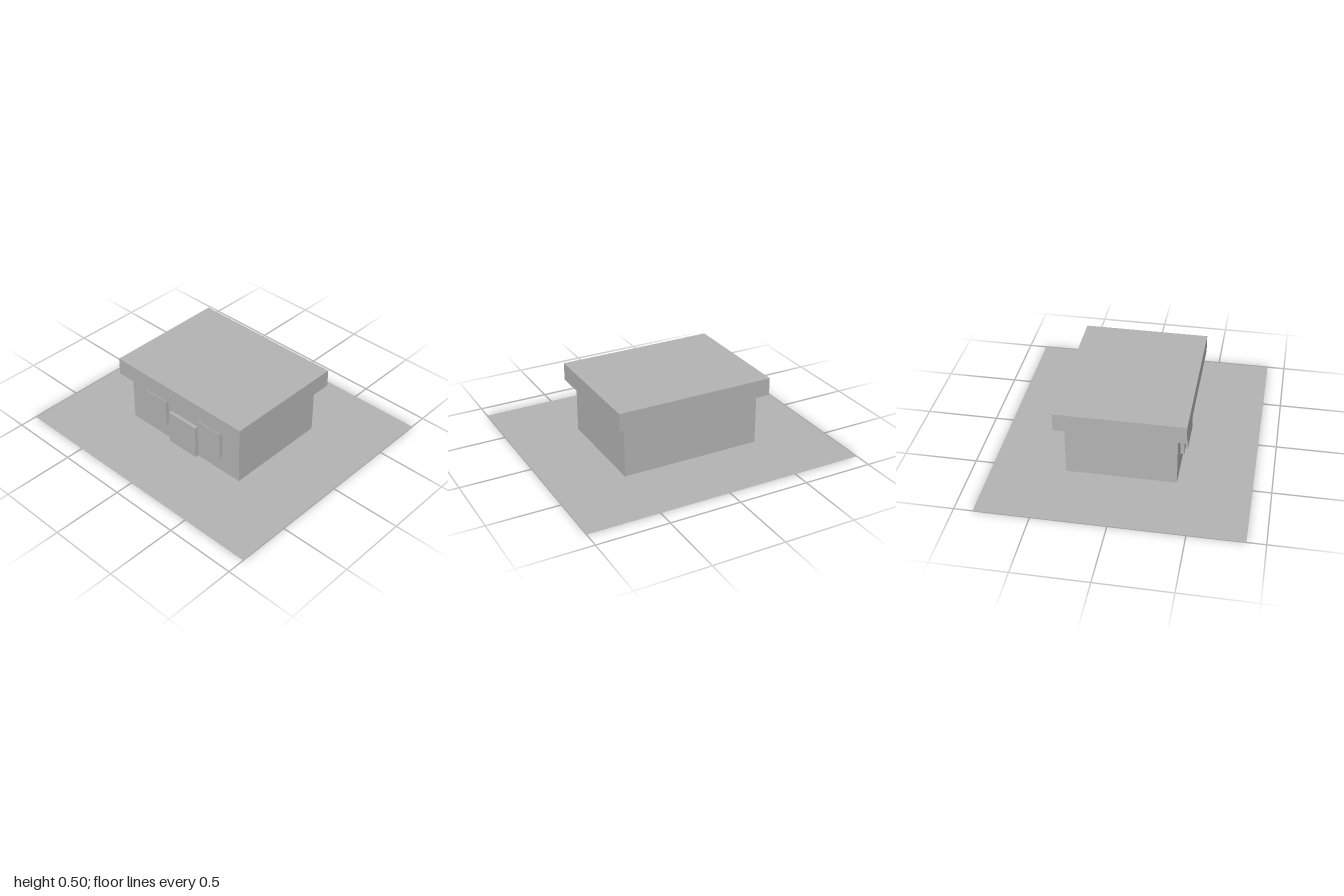
import * as THREE from 'three';

export function createModel() {
  const model = new THREE.Group();
  model.name = 'smallHouse';

  const grey = new THREE.MeshStandardMaterial({ color: 0xb2b2b2, side: THREE.DoubleSide });
  grey.name = 'plain grey';

  // Box given by its size and the position of its bottom centre
  function addBox(name, [w, h, d], [x, y, z]) {
    const mesh = new THREE.Mesh(new THREE.BoxGeometry(w, h, d), grey);
    mesh.name = name;
    mesh.position.set(x, y + h / 2, z);
    model.add(mesh);
  }

  // Flat plot of land
  const ground = new THREE.Mesh(new THREE.PlaneGeometry(2, 1.75).rotateX(-Math.PI / 2), grey);
  ground.name = 'ground';
  model.add(ground);

  // House body and overhanging flat roof
  addBox('walls', [1, 0.375, 0.75], [0, 0, 0]);
  addBox('roof', [1.12, 0.125, 0.875], [0, 0.375, 0]);

  // Door and windows stand slightly proud of the front wall
  addBox('door', [0.25, 0.25, 0.025], [0, 0, 0.3875]);
  for (const side of [-1, 1]) {
    addBox(side > 0 ? 'leftWindow' : 'rightWindow', [0.2, 0.2, 0.025], [side * 0.25, 0.125, 0.3875]);
  }

  return model;
}
